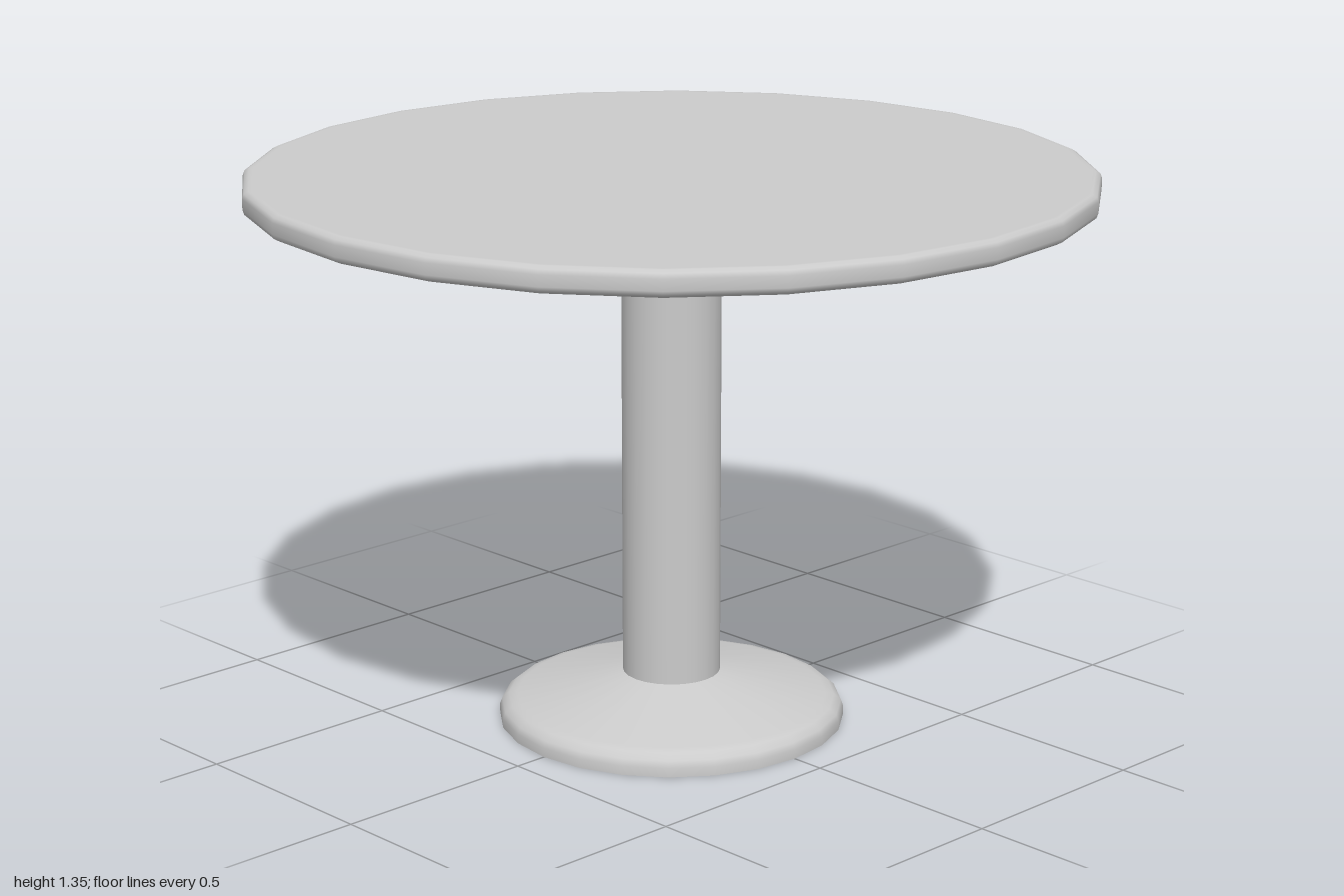
import * as THREE from 'three';

const SIDES = 24;

// Turned part from a list of [radius, height] points, bottom to top
function turned(name, profile, side = THREE.FrontSide) {
  const points = profile.map(([r, y]) => new THREE.Vector2(r, y));
  const material = new THREE.MeshStandardMaterial({ color: 0xcccccc, side });
  const mesh = new THREE.Mesh(new THREE.LatheGeometry(points, SIDES), material);
  mesh.name = name;
  return mesh;
}

export function createModel() {
  const group = new THREE.Group();
  group.name = 'roundPedestalTable';

  // Flat disc with softened edges; the inner rings keep both faces flat
  group.add(turned('tableTop', [
    [0, 1.29], [0.975, 1.29], [0.985, 1.29], [0.996, 1.296], [1, 1.307],
    [1, 1.333], [0.996, 1.344], [0.985, 1.35], [0.975, 1.35], [0, 1.35],
  ]));

  // Hollow column, open at the foot
  group.add(turned('column', [[0.118, 0.117], [0.118, 1.29]], THREE.DoubleSide));

  // Shallow conical foot, a thin shell open underneath
  group.add(turned('foot', [
    [0.418, 0], [0.418, 0.022], [0.412, 0.038], [0.395, 0.052],
    [0.375, 0.057], [0.118, 0.117],
  ], THREE.DoubleSide));

  return group;
}
